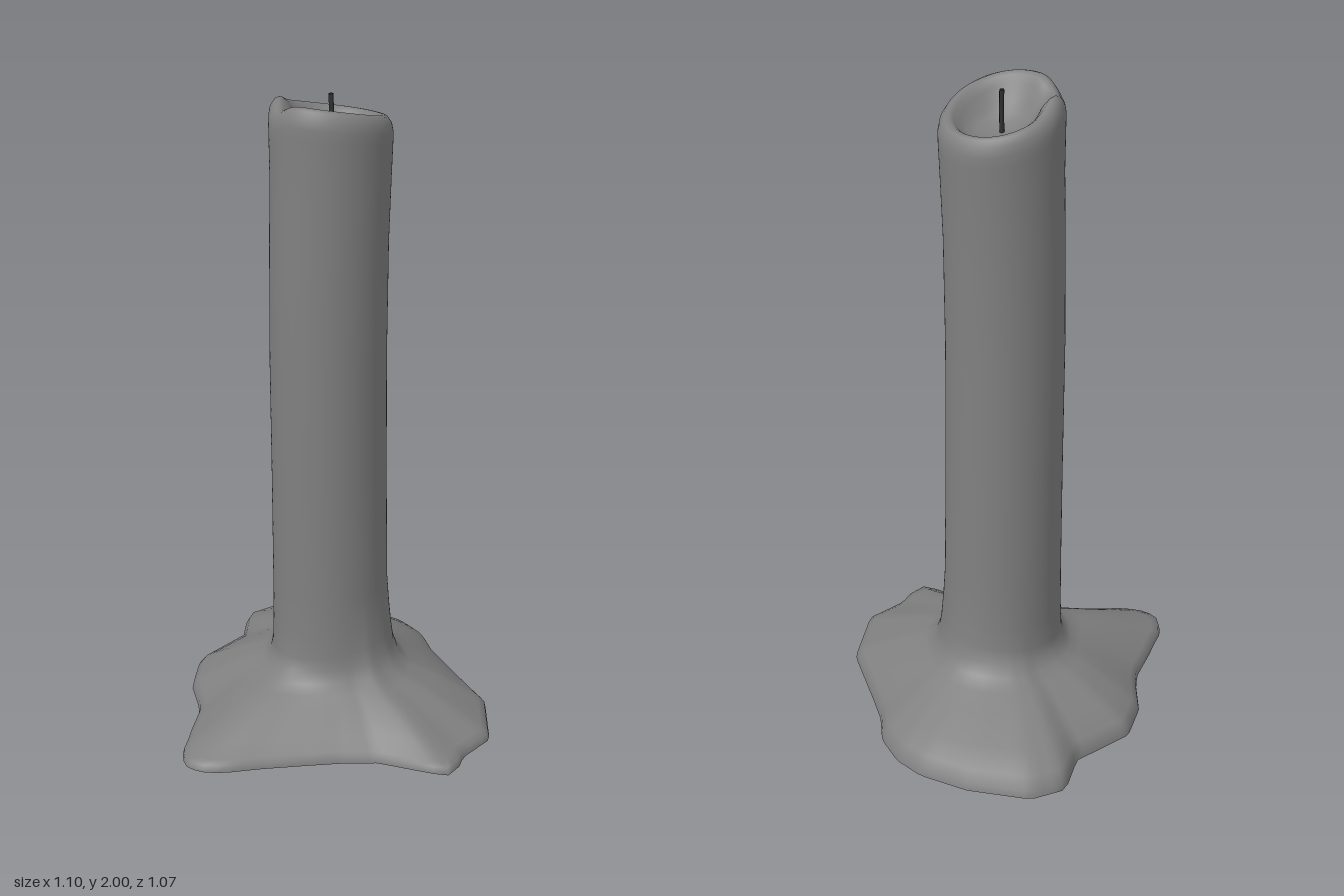
import * as THREE from 'three';

const SEG = 120;
const CX = -0.02, CZ = -0.06; // axis of the candle column

// Edge of the melted wax pool, seen from above (x, z)
const POOL = [
  [-0.55, -0.22], [-0.525, -0.33], [-0.38, -0.455], [-0.24, -0.525], [-0.14, -0.54], [-0.03, -0.52],
  [0.06, -0.465], [0.15, -0.43], [0.37, -0.35], [0.505, -0.21], [0.515, -0.075], [0.54, -0.03],
  [0.55, 0.035], [0.5, 0.06], [0.35, 0.125], [0.27, 0.205], [0.2, 0.29], [0.12, 0.39], [0.06, 0.475],
  [0.02, 0.515], [-0.04, 0.537], [-0.1, 0.505], [-0.12, 0.47], [-0.17, 0.4], [-0.235, 0.3],
  [-0.28, 0.26], [-0.375, 0.195], [-0.455, 0.09], [-0.46, -0.11],
];

// Distance from the column axis to the pool edge in direction (c, s)
function poolRadius(c, s) {
  for (let i = 0; i < POOL.length; i++) {
    const [ax, az] = POOL[i], [bx, bz] = POOL[(i + 1) % POOL.length];
    const px = ax - CX, pz = az - CZ, dx = bx - ax, dz = bz - az;
    const det = c * dz - s * dx;
    if (Math.abs(det) < 1e-9) continue;
    const r = (px * dz - pz * dx) / det;
    const u = (px * s - pz * c) / det;
    if (r > 0 && u >= -1e-6 && u <= 1 + 1e-6) return r;
  }
  return 0.5;
}

// Smooth bump of unit height around one angle
const bump = (angle, centre, width) => Math.exp(-(((angle - centre) / width) ** 2));

// All cross-sections along one direction, from the pool edge up and into the crater
function profile(angle) {
  const c = Math.cos(angle), s = Math.sin(angle);
  const column = Math.hypot(0.168 * c, 0.179 * s);
  const edge = poolRadius(c, s);
  const w = 0.5 + 0.35 * (c - s); // wider foot at the left and back
  const edgeY = Math.max(0, 0.015 + 0.02 * edge * (c + s));
  const points = [];
  const add = (r, y, dx = 0, dz = 0) => points.push([CX + dx + r * c, y, CZ + dz + r * s]);

  // Pool and flared foot: share of the way out to the edge, height
  const foot = [
    [1, edgeY], [0.985, edgeY + 0.022], [0.92, 0.056], [0.72, 0.09], [0.45, 0.136], [0.25, 0.162],
    [0.13, 0.18 + 0.015 * w], [0.04 + 0.035 * w, 0.205 + 0.035 * w], [0.01 + 0.04 * w, 0.24 + 0.05 * w],
    [0.025 * w, 0.32 + 0.04 * w], [0, 0.45],
  ];
  for (const [t, y] of foot) add(column + (edge - column) * t, y);

  // Slightly swaying column: height, radius scale, sway in x and z
  const shaft = [[0.8, 0.99, 0, 0.005], [1.2, 0.99, 0, 0.01], [1.55, 0.99, 0, 0.007], [1.75, 1, 0, 0.001]];
  for (const [y, k, dx, dz] of shaft) add(column * k, y, dx, dz);

  // Sloping, uneven rounded lip and the bowl-shaped crater: radius scale, height below the crest
  const crest = 1.953 + 0.044 * s + 0.012 * c - 0.022 * bump(angle, 1.95, 0.3) + 0.012 * bump(angle, 2.5, 0.3);
  const lip = [
    [1.015, 0.085], [1.02, 0.052], [0.99, 0.024], [0.92, 0.005], [0.84, 0], [0.76, 0.009], [0.67, 0.028],
  ];
  for (const [k, drop] of lip) add(column * k, Math.min(2, crest - drop));
  add(column * 0.56, 1.9 + 0.025 * s);
  add(column * 0.42, 1.882 + 0.014 * s);
  add(column * 0.22, 1.87 + 0.005 * s);
  add(0.002, 1.866);
  return points;
}

// One continuous wax skin, hollow underneath
function waxGeometry() {
  const position = [], index = [];
  let rows = 0;
  for (let j = 0; j < SEG; j++) {
    const points = profile((j / SEG) * Math.PI * 2);
    rows = points.length;
    for (const p of points) position.push(...p);
  }
  for (let j = 0; j < SEG; j++) {
    const next = (j + 1) % SEG;
    for (let i = 0; i < rows - 1; i++) {
      const a = j * rows + i, b = next * rows + i;
      index.push(a, a + 1, b, b, a + 1, b + 1);
    }
  }
  const geometry = new THREE.BufferGeometry();
  geometry.setAttribute('position', new THREE.Float32BufferAttribute(position, 3));
  geometry.setIndex(index);
  geometry.computeVertexNormals();
  return geometry;
}

export function createModel() {
  const group = new THREE.Group();
  group.name = 'meltedCandle';

  const wax = new THREE.Mesh(
    waxGeometry(),
    new THREE.MeshStandardMaterial({ color: 0x808080, side: THREE.DoubleSide }),
  );
  wax.name = 'waxBody';
  group.add(wax);

  // Thin, slightly bent wick standing in the crater
  const path = new THREE.CatmullRomCurve3([
    new THREE.Vector3(CX, 1.85, CZ),
    new THREE.Vector3(CX + 0.002, 1.93, CZ),
    new THREE.Vector3(CX - 0.002, 1.994, CZ - 0.002),
  ]);
  const wick = new THREE.Mesh(
    new THREE.TubeGeometry(path, 8, 0.007, 8),
    new THREE.MeshStandardMaterial({ color: 0x303030, side: THREE.DoubleSide }),
  );
  wick.name = 'wick';
  group.add(wick);

  return group;
}
